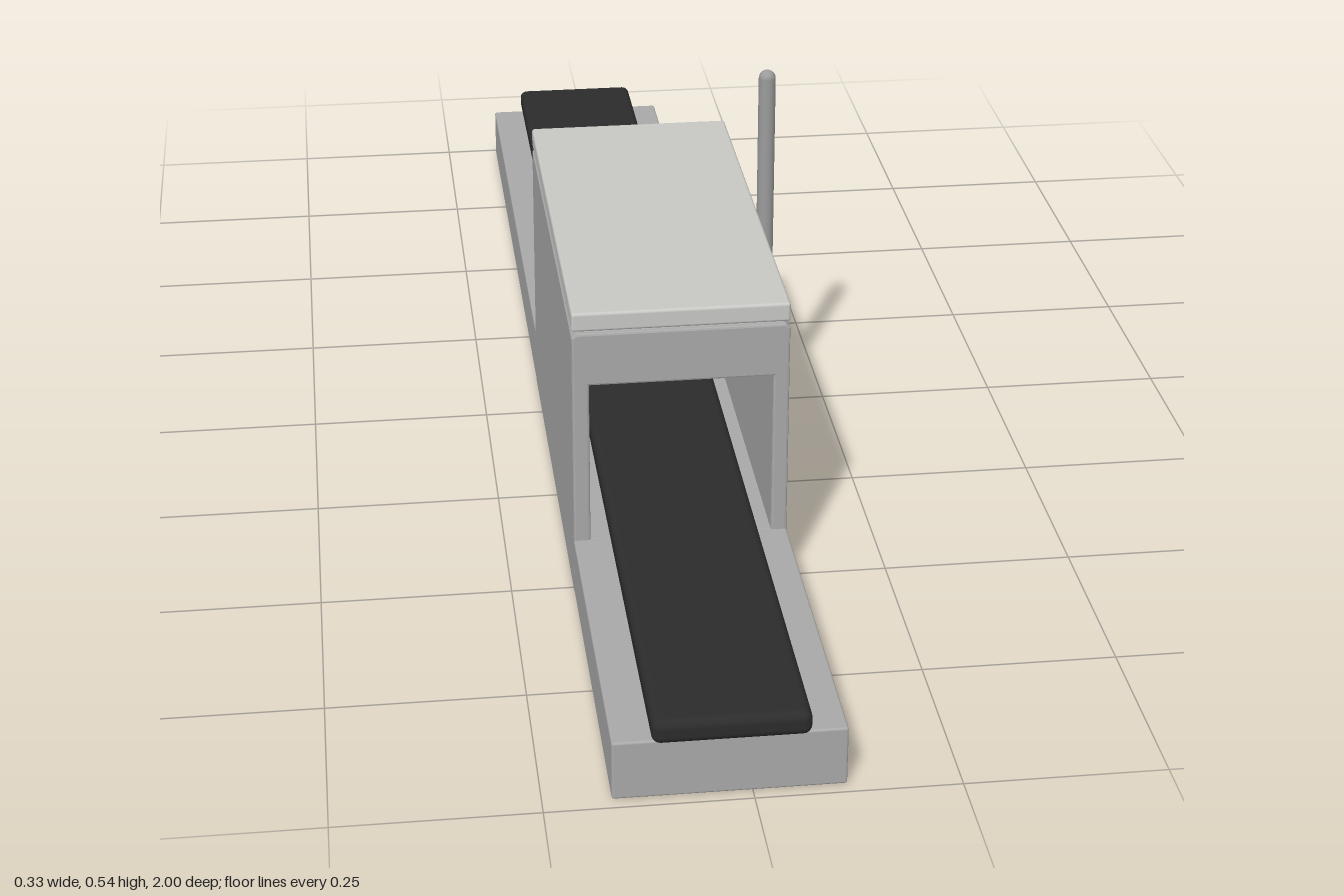
import * as THREE from 'three';
import { RoundedBoxGeometry } from 'three/addons/geometries/RoundedBoxGeometry.js';

const mat = (name, color) => new THREE.MeshStandardMaterial({ name, color });

export function createModel() {
  const model = new THREE.Group();
  model.name = 'conveyorScanner';
  const grey = mat('casing grey', 0xa9a9a9);
  const light = mat('lid light grey', 0xc8c8c5);
  const black = mat('belt black', 0x2c2c2c);
  const steel = mat('handle grey', 0x9c9c9c);

  const add = (name, geometry, material, x = 0, y = 0, z = 0) => {
    const mesh = new THREE.Mesh(geometry, material);
    mesh.name = name;
    mesh.position.set(x, y, z);
    model.add(mesh);
    return mesh;
  };
  // Rounded box given by its limits on each axis
  const block = (name, material, [x0, x1], [y0, y1], [z0, z1], r) =>
    add(name, new RoundedBoxGeometry(x1 - x0, y1 - y0, z1 - z0, 3, r), material,
      (x0 + x1) / 2, (y0 + y1) / 2, (z0 + z1) / 2);
  const corners = (pts, Type = THREE.Shape) => new Type(pts.map(([x, y]) => new THREE.Vector2(x, y)));

  const X = [-0.168, 0.113];
  const backZ = -0.105, frontZ = 0.515;

  // Base sections either side of the housing
  block('frontBase', grey, X, [0, 0.078], [frontZ - 0.004, 0.985], 0.003);
  block('rearBase', grey, X, [0, 0.078], [-0.985, backZ + 0.004], 0.003);

  // Belt running the whole length
  block('belt', black, [-0.122, 0.068], [0.08, 0.112], [-1, 1], 0.011);
  block('beltBed', grey, [-0.11, 0.056], [0.07, 0.084], [-0.97, 0.97], 0.002);

  // Tunnel housing with a through opening
  const wall = corners([[X[0], 0], [X[1], 0], [X[1], 0.372], [X[1] - 0.006, 0.378],
    [X[0] + 0.006, 0.378], [X[0], 0.372]]);
  wall.holes.push(corners([[-0.146, 0.078], [-0.146, 0.304], [0.092, 0.304], [0.092, 0.078]], THREE.Path));
  const b = 0.003;
  add('housing', new THREE.ExtrudeGeometry(wall, {
    depth: frontZ - backZ - 2 * b, bevelEnabled: true, bevelThickness: b,
    bevelSize: b, bevelOffset: -b, bevelSegments: 2,
  }), grey, 0, 0, backZ + b);

  // Lid on a slightly recessed neck
  block('lidNeck', light, [X[0] + 0.006, X[1] - 0.006], [0.374, 0.388], [backZ + 0.006, frontZ - 0.006], 0.002);
  block('lid', light, X, [0.381, 0.407], [backZ, frontZ], 0.004);

  // Bent crank handle through the side wall
  const hz = 0.03, r = 0.012;
  const path = new THREE.CurvePath();
  const p = (x, y) => new THREE.Vector3(x, y, hz);
  path.add(new THREE.LineCurve3(p(0.095, 0.209), p(0.142, 0.209)));
  path.add(new THREE.QuadraticBezierCurve3(p(0.142, 0.209), p(0.154, 0.209), p(0.154, 0.221)));
  path.add(new THREE.LineCurve3(p(0.154, 0.221), p(0.154, 0.523)));
  add('handle', new THREE.TubeGeometry(path, 80, r, 14, false), steel);
  add('handleTip', new THREE.SphereGeometry(r, 14, 10), steel, 0.154, 0.523, hz);
  add('handleElbow', new THREE.SphereGeometry(r, 14, 10), steel, 0.154, 0.209, hz);
  add('handlePivot', new THREE.SphereGeometry(0.013, 14, 10), steel, 0.097, 0.209, hz);

  // Eight-sided side plate with a button
  const w = 0.053, h = 0.037, c = 0.02;
  const plate = corners([[w, -h + c], [w, h - c], [w - c, h], [c - w, h], [-w, h - c],
    [-w, c - h], [c - w, -h], [w - c, -h]]);
  add('sidePlate', new THREE.ExtrudeGeometry(plate, { depth: 0.006, bevelEnabled: false }),
    light, 0.111, 0.144, 0.34).rotation.y = Math.PI / 2;
  add('buttonCollar', new THREE.CylinderGeometry(0.01, 0.017, 0.006, 16), steel, 0.119, 0.142, 0.34)
    .rotation.z = -Math.PI / 2;
  add('button', new THREE.SphereGeometry(0.011, 14, 10), steel, 0.1145, 0.142, 0.34);

  // Dark plug on the underside
  add('bottomPlug', new THREE.CylinderGeometry(0.014, 0.014, 0.004, 16), black, -0.078, 0.001, 0.175);
  return model;
}
